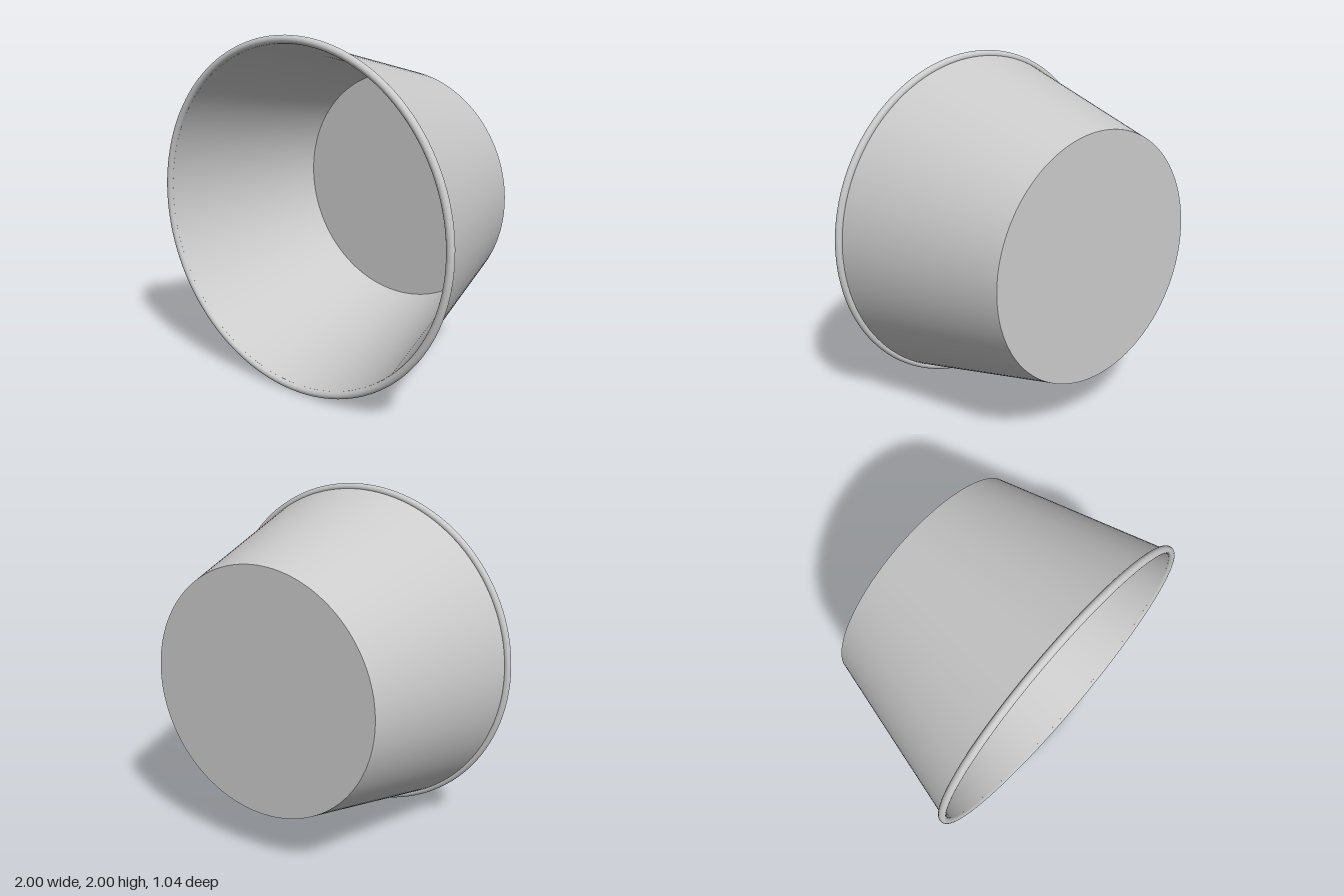
import * as THREE from 'three';

const SEGMENTS = 128;

export function createModel() {
  const model = new THREE.Group();
  model.name = 'bucket';
  const material = new THREE.MeshStandardMaterial({ color: 0xcccccc });

  const add = (name, geometry) => {
    const mesh = new THREE.Mesh(geometry, material);
    mesh.name = name;
    mesh.position.y = 1;
    model.add(mesh);
  };

  // Cross-section as [radius, z]; each span is its own surface so corners stay sharp
  const profile = [
    [0, -0.52], [0.713, -0.52], [0.976, 0.5],
    [0.956, 0.5], [0.698, -0.5], [0, -0.5],
  ];
  const names = ['baseOutside', 'wallOutside', 'wallEdge', 'wallInside', 'baseInside'];
  names.forEach((name, i) => {
    const span = [profile[i], profile[i + 1]].map(([r, z]) => new THREE.Vector2(r, z));
    add(name, new THREE.LatheGeometry(span, SEGMENTS).rotateX(Math.PI / 2));
  });

  // Rolled rim around the open front
  add('rim', new THREE.TorusGeometry(0.978, 0.022, 20, SEGMENTS).translate(0, 0, 0.498));

  return model;
}
